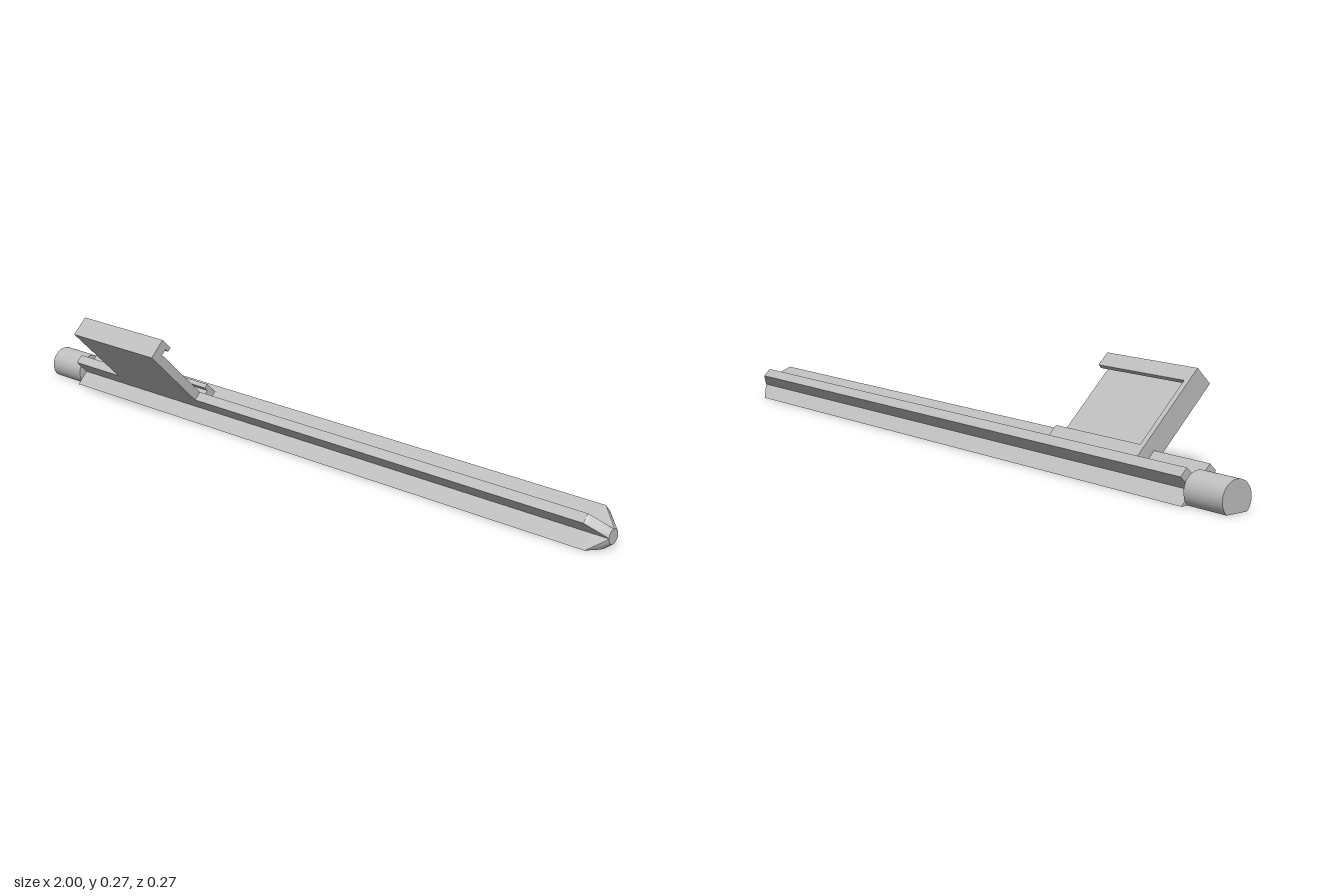
import * as THREE from 'three';
import { toCreasedNormals } from 'three/addons/utils/BufferGeometryUtils.js';

const CY = 0.033, CZ = -0.0805;   // axis of the bar
const H = 0.0135, REACH = 0.065;  // half thickness and length of the bar's ribs
const ROOT = Math.SQRT1_2;

// Sections are drawn as seen from +x, then turned so they run along x.
function place(geometry, x = 0) {
  return geometry.rotateY(Math.PI / 2).translate(x, CY, CZ);
}

// Creases are found at a larger scale so small details stay apart.
function crease(geometry) {
  return toCreasedNormals(geometry.scale(100, 100, 100), 0.5).scale(0.01, 0.01, 0.01);
}

function extrude(shape, x0, x1) {
  const g = new THREE.ExtrudeGeometry(shape, { depth: x1 - x0, bevelEnabled: false, curveSegments: 48 });
  return place(crease(g), x0);
}

// Profile in u (along the holder's slope) and w (across it)
function slopedShape(points) {
  return new THREE.Shape(points.map(([u, w]) => new THREE.Vector2((w - u) * ROOT, (u + w) * ROOT)));
}

// Four-ribbed outline inside a circle of radius r, cut flat at the ground
function ribRing(r) {
  const ring = [];
  for (let arm = 0; arm < 4; arm++) {
    const a = Math.PI / 4 + arm * Math.PI / 2;
    const dx = Math.cos(a), dy = Math.sin(a);
    const add = (u, v) => ring.push([u * dx - v * dy, u * dy + v * dx]);
    add(H, -H);
    for (let i = 0; i <= 6; i++) {
      const v = -H + 2 * H * i / 6;
      let u = Math.min(REACH, Math.sqrt(r * r - v * v));
      if (dy < 0) u = Math.min(u, (CY + v * dx) / -dy);
      add(u, v);
    }
  }
  return ring;
}

// Ribbed bar with a conical tip
function barGeometry() {
  const rFull = Math.hypot(REACH, H), rTip = 0.0195, steps = 10;
  const sections = [{ x: -0.877, ring: ribRing(rFull) }];
  for (let i = 0; i <= steps; i++) {
    const t = i / steps;
    sections.push({ x: 0.95 + 0.05 * t, ring: ribRing(rFull + (rTip - rFull) * t) });
  }
  const pos = [];
  const tri = (...corners) => corners.forEach(c => pos.push(...c));
  const n = sections[0].ring.length;
  const at = (k, i) => [...sections[k].ring[i % n], sections[k].x];
  const last = sections.length - 1;
  for (let i = 0; i < n; i++) {
    for (let k = 0; k < last; k++) {
      tri(at(k, i), at(k, i + 1), at(k + 1, i + 1));
      tri(at(k, i), at(k + 1, i + 1), at(k + 1, i));
    }
    tri([0, 0, sections[0].x], at(0, i + 1), at(0, i));
    tri([0, 0, sections[last].x], at(last, i), at(last, i + 1));
  }
  const g = new THREE.BufferGeometry();
  g.setAttribute('position', new THREE.Float32BufferAttribute(pos, 3));
  return place(crease(g));
}

export function createModel() {
  const model = new THREE.Group();
  model.name = 'ribbedStake';
  const grey = new THREE.MeshStandardMaterial({ color: 0xc0c0c0 });
  grey.name = 'lightGrey';
  const add = (name, geometry, parent = model) => {
    const mesh = new THREE.Mesh(geometry, grey);
    mesh.name = name;
    parent.add(mesh);
  };

  add('ribbedBar', barGeometry());

  // Round end peg, cut flat underneath
  const pegR = 0.046, cut = Math.asin(CY / pegR);
  const peg = new THREE.Shape();
  peg.absarc(0, 0, pegR, -cut, Math.PI + cut, false);
  add('endPeg', extrude(peg, -1, -0.877));

  // Slotted holder: back plate with hooked lips, open at one end
  const holder = new THREE.Group();
  holder.name = 'slottedHolder';
  model.add(holder);
  const top = 0.293, face = 0.046, under = 0.033;
  const x0 = -0.69, xWall = -0.674, x1 = -0.364;
  add('backPlateWithLip', extrude(slopedShape([
    [REACH, -H], [top, -H], [top, face], [0.252, face],
    [0.252, under], [0.265, under], [0.265, H], [REACH, H],
  ]), xWall, x1), holder);
  add('lowerLip', extrude(slopedShape([
    [H, H], [0.0415, H], [0.0415, under], [0.0555, under], [0.0555, face], [H, face],
  ]), xWall, x1), holder);
  add('endWall', extrude(slopedShape([
    [REACH, -H], [top, -H], [top, face], [H, face], [H, H], [REACH, H],
  ]), x0, xWall), holder);

  return model;
}
